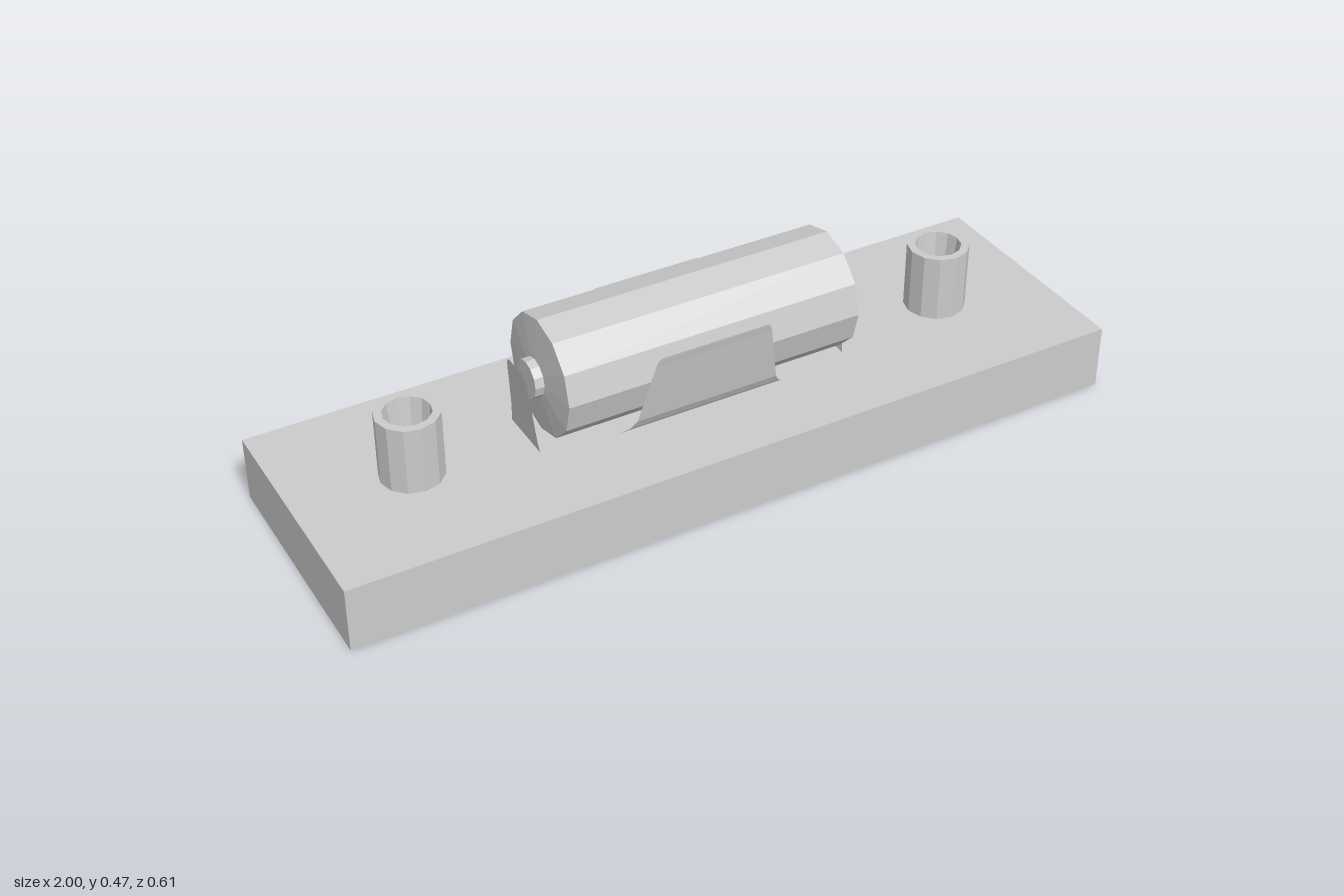
import * as THREE from 'three';

const CENTRE_X = -0.018; // middle of the cell and its clips
const DECK = 0.165; // top of the base

function material(side = THREE.FrontSide) {
  return new THREE.MeshStandardMaterial({ color: 0xcccccc, flatShading: true, side });
}

function addMesh(parent, name, geometry, mat = material()) {
  const mesh = new THREE.Mesh(geometry, mat);
  mesh.name = name;
  parent.add(mesh);
  return mesh;
}

function lathe(points) {
  return new THREE.LatheGeometry(points.map(([r, y]) => new THREE.Vector2(r, y)), 12);
}

// Thin leaf spring: each row is [half width, height, distance outward]
function clipGeometry(rows) {
  const positions = [];
  const index = [];
  rows.forEach(([w, y, out], i) => {
    positions.push(-w, y, out, w, y, out);
    if (i > 0) {
      const a = 2 * (i - 1);
      index.push(a, a + 1, a + 3, a, a + 3, a + 2);
    }
  });
  const geometry = new THREE.BufferGeometry();
  geometry.setAttribute('position', new THREE.Float32BufferAttribute(positions, 3));
  geometry.setIndex(index);
  geometry.computeVertexNormals();
  return geometry;
}

export function createModel() {
  const group = new THREE.Group();
  group.name = 'batteryHolder';

  // Base slab
  addMesh(group, 'base', new THREE.BoxGeometry(2, DECK, 0.61)).position.y = DECK / 2;

  // Hollow posts with a tapering bore
  const post = lathe([[0.077, DECK], [0.077, 0.336], [0.057, 0.336], [0.04, 0.2], [0, 0.2]]);
  for (const side of [-1, 1]) {
    addMesh(group, side > 0 ? 'leftPost' : 'rightPost', post).position.x = side * 0.71;
  }

  // Cell with a slightly coned end and a terminal nub, lying along x
  const cell = addMesh(group, 'cell', lathe([
    [0, -0.38], [0.15, -0.38], [0.15, 0.385], [0.048, 0.395], [0.048, 0.418], [0, 0.418],
  ]));
  cell.rotation.z = Math.PI / 2;
  cell.position.y = 0.321;

  // Side clips that cradle the cell and flare out at the top
  const sideClip = clipGeometry([
    [0.218, DECK + 0.001, 0.1], [0.2, 0.183, 0.118], [0.185, 0.207, 0.13],
    [0.168, 0.29, 0.146], [0.152, 0.365, 0.16], [0.146, 0.382, 0.164], [0.138, 0.388, 0.165],
  ]);
  // Contact clips at the two ends
  const endClip = clipGeometry([
    [0.074, DECK, 0.408], [0.067, 0.19, 0.41], [0.062, 0.22, 0.412],
    [0.056, 0.28, 0.417], [0.049, 0.335, 0.423], [0.043, 0.355, 0.425], [0.035, 0.365, 0.426],
  ]);
  const clips = [
    ['frontClip', sideClip, 0], ['backClip', sideClip, Math.PI],
    ['leftContact', endClip, Math.PI / 2], ['rightContact', endClip, -Math.PI / 2],
  ];
  for (const [name, geometry, turn] of clips) {
    const clip = addMesh(group, name, geometry, material(THREE.DoubleSide));
    clip.rotation.y = turn;
    clip.position.x = CENTRE_X;
  }
  return group;
}
